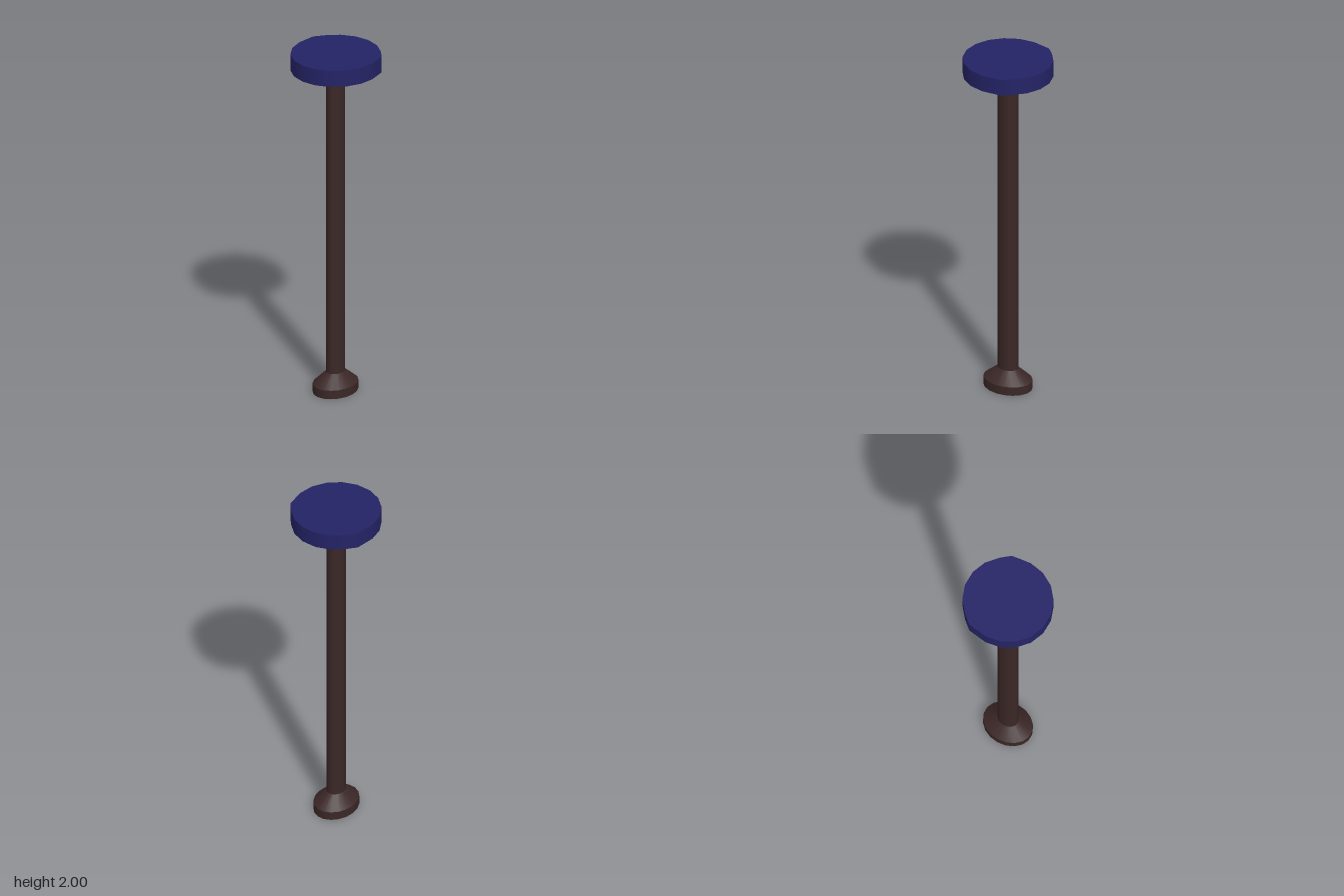
import * as THREE from 'three';

const SIDES = 18;

// Elliptical drum between two heights; radii are [x, z] at the bottom, topScale shrinks the top ring
function drum(name, rx, rz, y0, y1, material, topScale = 1, open = false) {
  const geometry = new THREE.CylinderGeometry(topScale, 1, y1 - y0, SIDES, 1, open, Math.PI / 2);
  geometry.scale(rx, 1, rz);
  geometry.translate(0, (y0 + y1) / 2, 0);
  const mesh = new THREE.Mesh(geometry, material);
  mesh.name = name;
  return mesh;
}

export function createModel() {
  const blue = new THREE.MeshStandardMaterial({ color: 0x242366 });
  blue.name = 'navy cushion';
  const brown = new THREE.MeshStandardMaterial({ color: 0x3a2726 });
  brown.name = 'dark brown';

  const group = new THREE.Group();
  group.name = 'stool';

  // Floor foot: short rim, then a taper up to the post
  group.add(drum('footRim', 0.114, 0.143, 0, 0.05, brown));
  group.add(drum('footTaper', 0.114, 0.143, 0.05, 0.115, brown, 0.42, true));

  // Slender post
  group.add(drum('post', 0.048, 0.06, 0.11, 1.91, brown));

  // Seat: blue side and top, brown underside
  const seat = drum('seat', 0.245, 0.25, 1.905, 2, [blue, blue, brown]);
  // Slightly squared rear corners
  const p = seat.geometry.attributes.position;
  for (let i = 0; i < p.count; i++) {
    if (Math.abs(p.getZ(i) + 0.0855) < 0.005) p.setZ(i, -0.11);
  }
  group.add(seat);

  return group;
}
